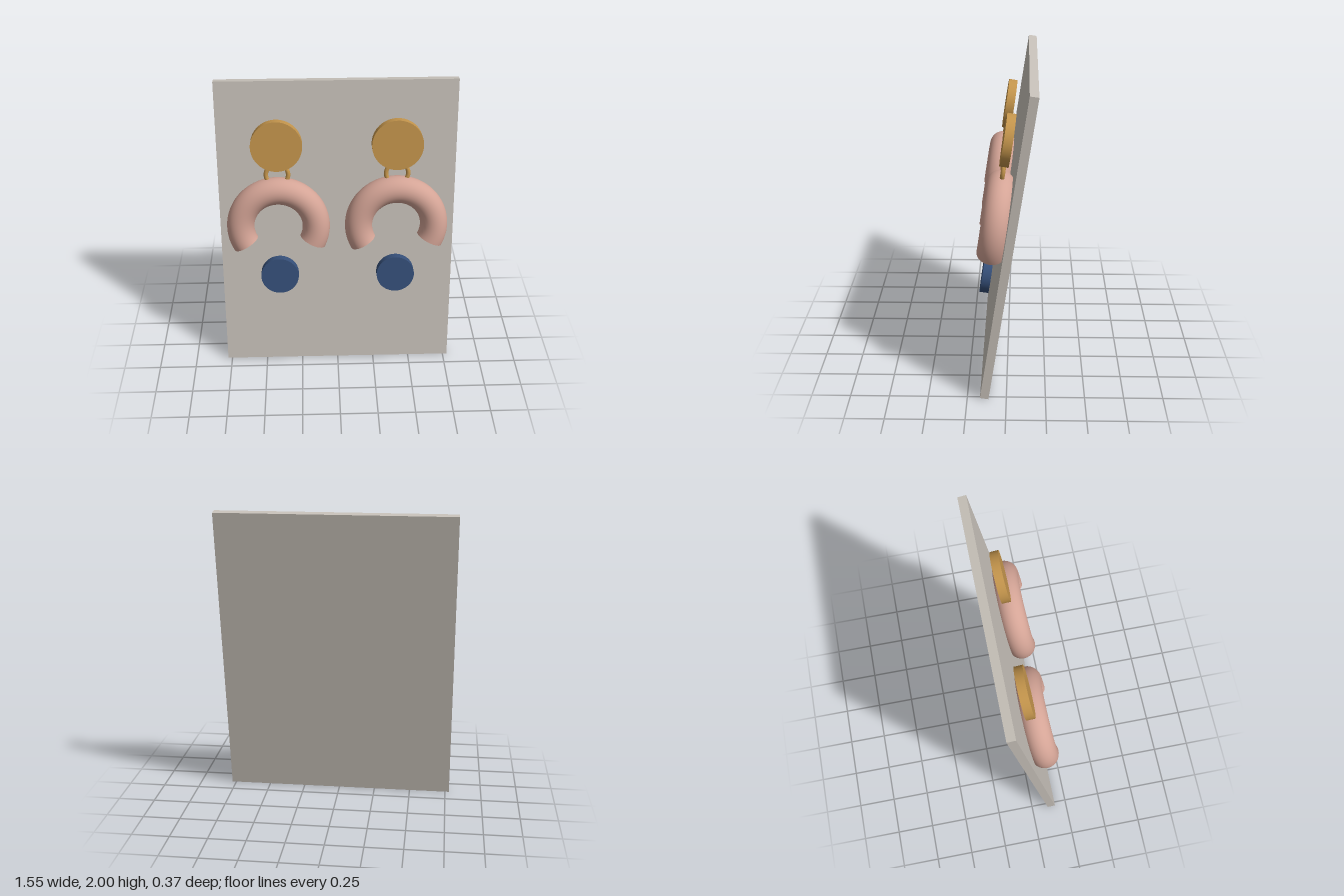
import * as THREE from 'three';

const mat = (name, color, side = THREE.FrontSide) => {
  const m = new THREE.MeshStandardMaterial({ color, side });
  m.name = name;
  return m;
};

export function createModel() {
  const stone = mat('warm grey card', 0xc8c2ba);
  const gold = mat('gold', 0xc4954c);
  const clay = mat('pink clay', 0xd4a496, THREE.DoubleSide);
  const navy = mat('navy', 0x36507a);

  const TILT = 0.15;          // backward lean
  const WIDTH = 1.555, HEIGHT = 2.014, THICK = 0.055;
  const DEPTH = 0.125;        // distance of the jewellery from the card's back

  const model = new THREE.Group();
  model.name = 'earringDisplay';

  // Everything hangs on a frame leaning back about the card's lower back edge
  const frame = new THREE.Group();
  frame.name = 'leaningFrame';
  frame.position.z = 0.114;
  frame.rotation.x = -TILT;
  model.add(frame);

  const add = (parent, name, geometry, material, y, z) => {
    const mesh = new THREE.Mesh(geometry, material);
    mesh.name = name;
    mesh.position.set(0, y, z);
    parent.add(mesh);
  };

  // Backing card
  add(frame, 'backingCard', new THREE.BoxGeometry(WIDTH, HEIGHT, THICK), stone, HEIGHT / 2, THICK / 2);

  // Shared earring shapes
  const disc = (r) => new THREE.CylinderGeometry(r, r, 0.056, 64).rotateX(Math.PI / 2);
  const stud = disc(0.166);
  const drop = disc(0.126);
  const link = new THREE.TorusGeometry(0.072, 0.0145, 16, 48);
  const arch = new THREE.TorusGeometry(0.249, 0.09, 32, 80, 4.1).rotateZ(-0.45); // open ends

  for (const [side, name] of [[1, 'leftEarring'], [-1, 'rightEarring']]) {
    const earring = new THREE.Group();
    earring.name = name;
    earring.position.x = side * WIDTH / 4;
    frame.add(earring);
    add(earring, 'studDisc', stud, gold, 1.609, DEPTH);
    add(earring, 'linkRing', link, gold, 1.413, DEPTH);
    add(earring, 'arch', arch, clay, 1.052, DEPTH);
    add(earring, 'dropDisc', drop, navy, 0.693, DEPTH);
  }
  return model;
}
